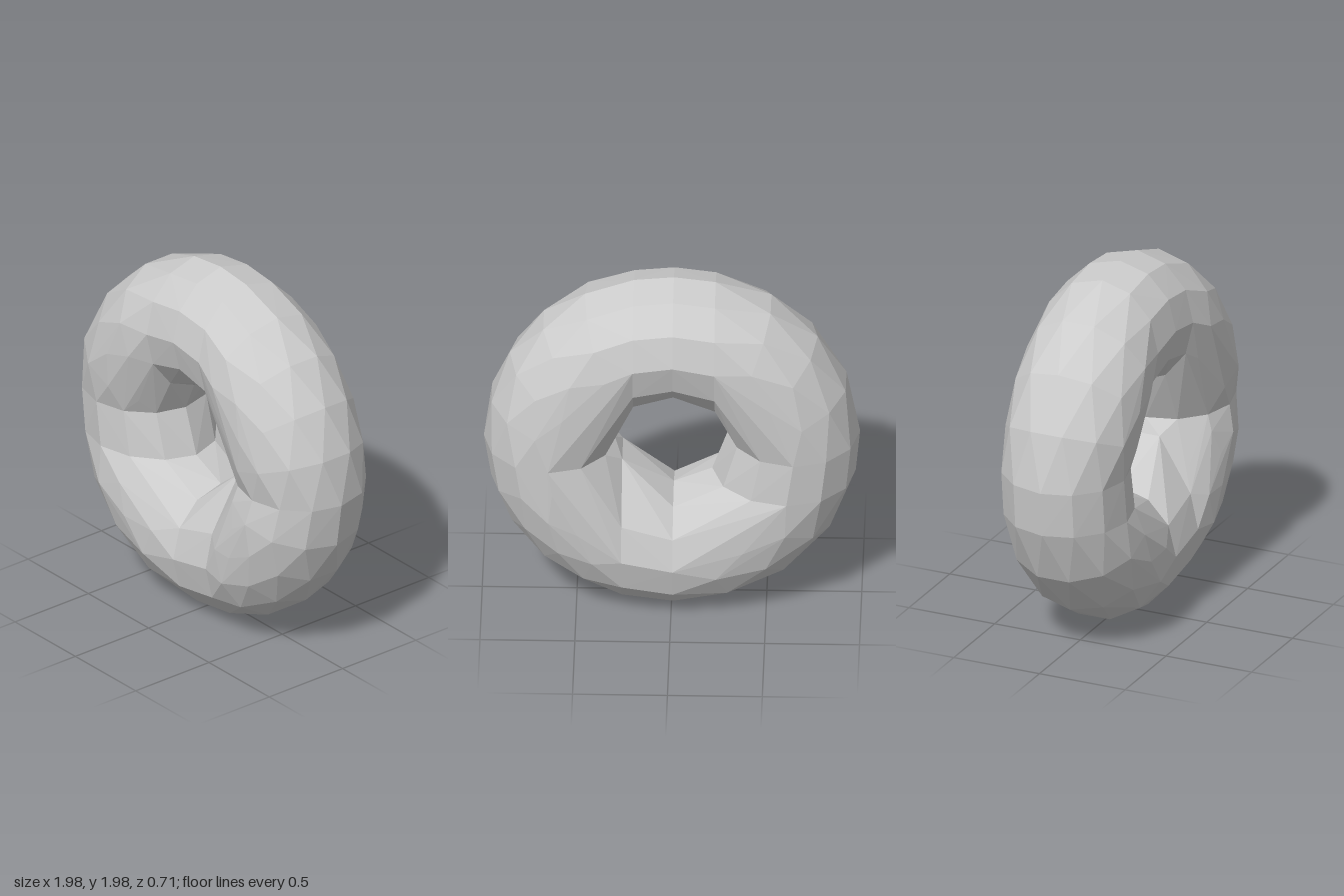
import * as THREE from 'three';
import { ConvexGeometry } from 'three/addons/geometries/ConvexGeometry.js';

const CY = 0.985;      // height of the ring's centre
const MAJOR = 0.647;   // centre-line radius
const MINOR = 0.345;   // tube radius in the ring's plane
const DEPTH = 0.357;   // tube half depth along z
const SIDES = 12;

// Straight cuts through the ring: each gives the angle at which radius p meets the plane
const cutTop = x => p => Math.acos(x / p);
const cutBottom = x => p => 2 * Math.PI - Math.acos(x / p);
const cutLeft = y => p => Math.asin((y - CY) / p);
const cutRight = y => p => Math.PI - Math.asin((y - CY) / p);
const turn = cut => p => cut(p) + 2 * Math.PI;

// One convex chunk of the ring between two cuts, with staggered rings of points
function chunk(from, to, steps, extra = []) {
  const points = extra.map(p => new THREE.Vector3(...p));
  for (let i = 0; i <= steps; i++) {
    const isCut = i === 0 || i === steps;
    const shift = i % 2 && !isCut ? 0.5 : 0;
    for (let j = 0; j < SIDES; j++) {
      const phi = ((j + shift) / SIDES) * Math.PI * 2;
      const p = MAJOR + MINOR * Math.cos(phi);
      const a = THREE.MathUtils.lerp(from(p), to(p), i / steps);
      const s = Math.sin(phi);
      // the cut faces are a little shallower at the front
      const z = s * (isCut && s > 0 ? 0.325 : DEPTH);
      points.push(new THREE.Vector3(p * Math.cos(a), CY + p * Math.sin(a), z));
    }
  }
  return new ConvexGeometry(points);
}

export function createModel() {
  const group = new THREE.Group();
  group.name = 'segmentedRing';
  const material = new THREE.MeshStandardMaterial({ color: 0xcccccc, flatShading: true });

  // Inner corner shared by the two lower left chunks
  const corner = [[0.26, 0.885, 0.1], [0.26, 0.885, -0.1]];

  const chunks = [
    ['upperLeftQuarter', cutLeft(0.96), cutTop(0.2), 5],
    ['topSliceLeft', cutTop(0.2), cutTop(-0.01), 1],
    ['topSliceRight', cutTop(-0.01), cutTop(-0.23), 1],
    ['upperRightQuarter', cutTop(-0.23), cutRight(1.02), 4],
    ['rightSlice', cutRight(1.02), cutRight(0.77), 1],
    ['lowerRightQuarter', cutRight(0.77), cutBottom(-0.01), 4],
    ['bottomSlice', cutBottom(-0.01), cutBottom(0.26), 1, corner],
    ['lowerLeftQuarter', cutBottom(0.26), turn(cutLeft(0.96)), 5, corner],
  ];
  for (const [name, from, to, steps, extra] of chunks) {
    const mesh = new THREE.Mesh(chunk(from, to, steps, extra), material);
    mesh.name = name;
    group.add(mesh);
  }
  return group;
}
